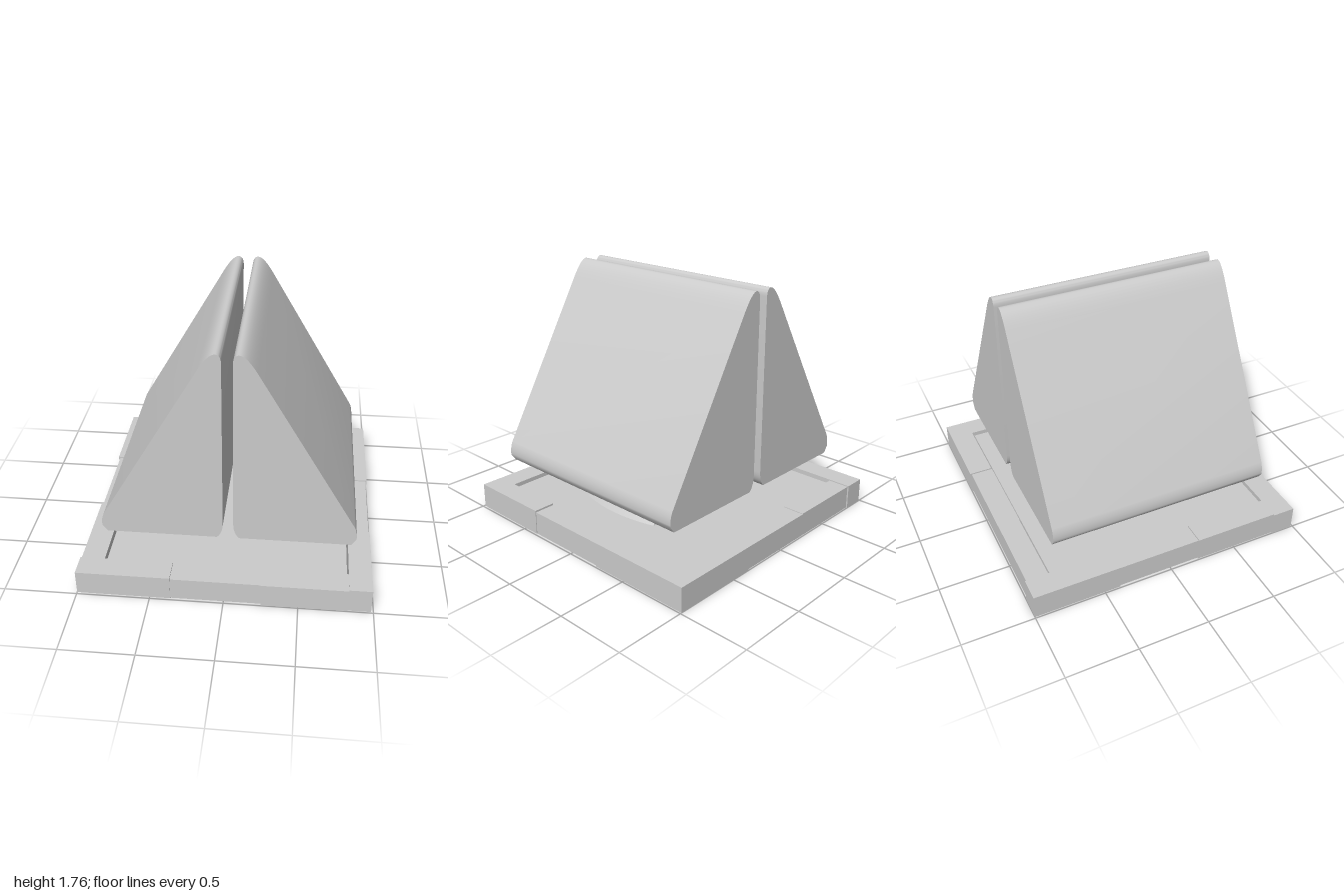
import * as THREE from 'three';
import { toCreasedNormals } from 'three/addons/utils/BufferGeometryUtils.js';

const CENTRE = 0.015; // mirror plane between the two wedges

export function createModel() {
  const model = new THREE.Group();
  const material = new THREE.MeshStandardMaterial({ color: 0xcccccc });
  const add = (name, geometry) => {
    const mesh = new THREE.Mesh(geometry, material);
    mesh.name = name;
    model.add(mesh);
    return mesh;
  };
  const block = (name, x0, x1, y0, y1, z0, z1) =>
    add(name, new THREE.BoxGeometry(x1 - x0, y1 - y0, z1 - z0))
      .position.set((x0 + x1) / 2, (y0 + y1) / 2, (z0 + z1) / 2);

  // Floor slab, set slightly inside the kerb
  block('floor', -0.82, 0.82, 0.015, 0.15, -0.82, 0.82);

  // Uneven kerb stones: x0, x1, top, z0, z1
  const stones = {
    frontKerb: [[-1, -0.36, 0.175, 0.825, 0.985], [-0.36, 0.25, 0.164, 0.815, 0.98],
      [0.25, 0.83, 0.174, 0.83, 0.995]],
    rightKerb: [[-0.99, -0.83, 0.175, 0.215, 0.825], [-0.98, -0.83, 0.165, -0.385, 0.215],
      [-0.99, -0.83, 0.178, -1, -0.385]],
    backKerb: [[-0.83, -0.26, 0.17, -0.99, -0.835], [-0.26, 0.35, 0.165, -0.99, -0.83],
      [0.35, 0.99, 0.174, -1, -0.835]],
    leftKerb: [[0.83, 0.99, 0.174, -0.835, -0.245], [0.825, 0.98, 0.165, -0.245, 0.38],
      [0.83, 0.985, 0.178, 0.38, 0.99]],
  };
  for (const [name, row] of Object.entries(stones))
    row.forEach(([x0, x1, top, z0, z1], i) => block(name + (i + 1), x0, x1, 0, top, z0, z1));

  // Right-angled wedge with rounded corners; side mirrors it across the gap
  const wedge = (side) => {
    const x = (d) => CENTRE + side * d;
    const s = new THREE.Shape();
    s.moveTo(x(0.075), 0.395);
    s.lineTo(x(0.815), 0.395);
    s.lineTo(x(0.847), 0.44);
    s.quadraticCurveTo(x(0.853), 0.49, x(0.83), 0.54);
    s.lineTo(x(0.185), 1.645);
    s.bezierCurveTo(x(0.135), 1.73, x(0.1), 1.765, x(0.07), 1.765);
    s.quadraticCurveTo(x(0.037), 1.76, x(0.035), 1.71);
    s.lineTo(x(0.035), 0.5);
    s.quadraticCurveTo(x(0.037), 0.43, x(0.075), 0.395);
    const g = new THREE.ExtrudeGeometry(s, { depth: 1.58, bevelEnabled: false, curveSegments: 8 });
    return toCreasedNormals(g.translate(0, 0, -0.79), 0.6);
  };

  // Neck sections: y, half width at the ends, half width in the middle, half depth
  const sections = [
    [0.14, 0.15, 0.2, 0.335], [0.175, 0.13, 0.175, 0.32], [0.245, 0.085, 0.122, 0.275],
    [0.34, 0.073, 0.122, 0.262], [0.41, 0.075, 0.118, 0.26],
  ];
  const neck = () => {
    const steps = 8, ring = 2 * (steps + 1), pos = [], idx = [];
    for (const [y, end, mid, depth] of sections)
      for (let i = 0; i < ring; i++) {
        const sign = i <= steps ? 1 : -1;
        const t = 1 - 2 * (i % (steps + 1)) / steps; // front to back, then back to front
        pos.push(sign * (end + (mid - end) * (1 - t * t)), y, sign * t * depth);
      }
    for (let j = 0; j < sections.length - 1; j++)
      for (let i = 0; i < ring; i++) {
        const a = j * ring + i, b = j * ring + (i + 1) % ring;
        idx.push(a, b, b + ring, a, b + ring, a + ring);
      }
    const g = new THREE.BufferGeometry();
    g.setAttribute('position', new THREE.Float32BufferAttribute(pos, 3));
    g.setIndex(idx);
    return toCreasedNormals(g, 0.8);
  };

  for (const [label, side] of [['right', -1], ['left', 1]]) {
    add(label + 'Wedge', wedge(side));
    add(label + 'Neck', neck()).position.x = CENTRE + side * 0.38;
  }
  return model;
}
